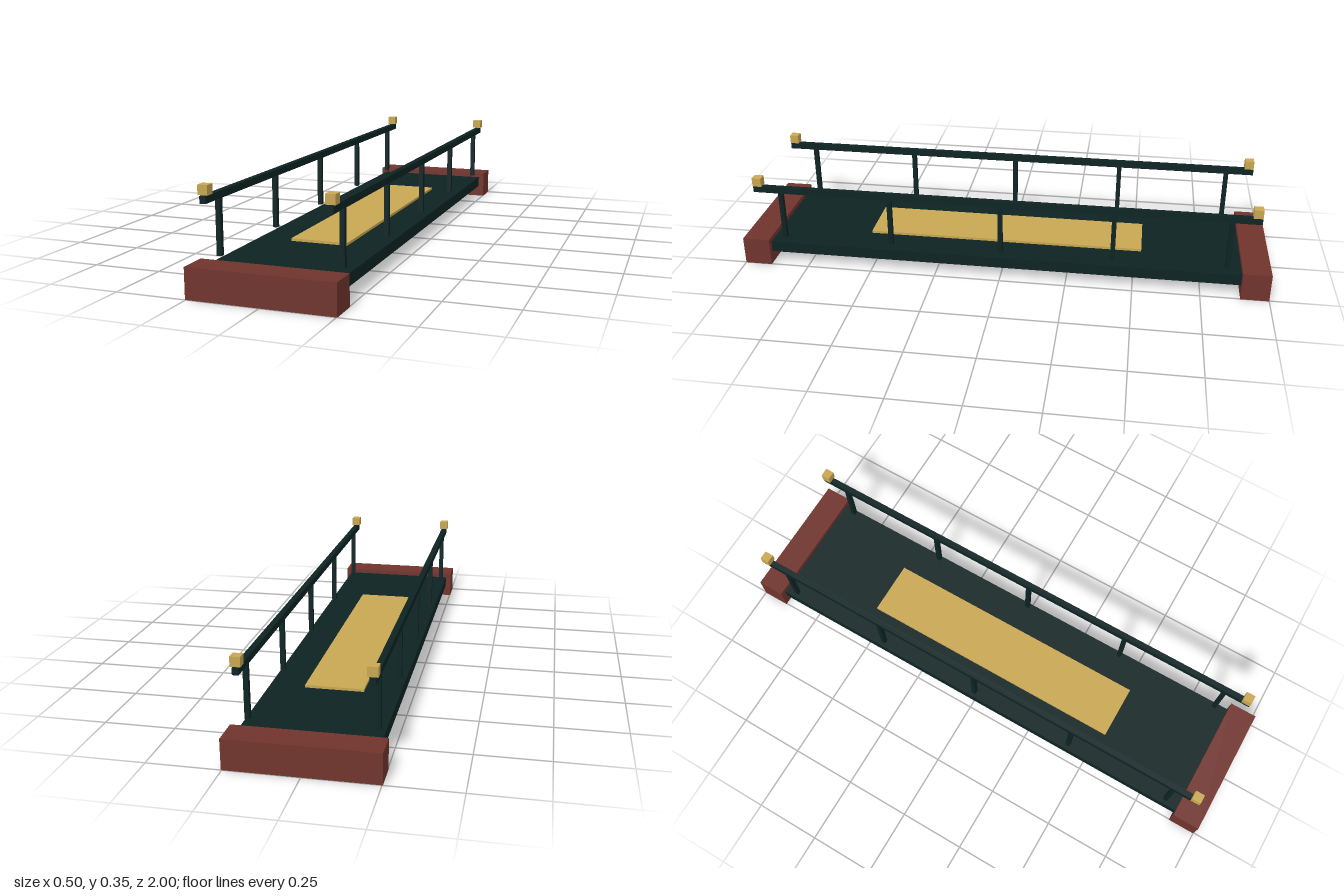
import * as THREE from 'three';

const material = (name, color) => {
  const m = new THREE.MeshStandardMaterial({ color });
  m.name = name;
  return m;
};

export function createModel() {
  const model = new THREE.Group();
  model.name = 'footbridge';
  const darkGreen = material('darkGreen', 0x0d2323);
  const brickRed = material('brickRed', 0x70342d);
  const gold = material('gold', 0xc8a752);

  // Box given by its size, its centre in x and z, and its bottom height
  const box = (name, mat, w, h, d, x, bottom, z) => {
    const mesh = new THREE.Mesh(new THREE.BoxGeometry(w, h, d), mat);
    mesh.name = name;
    mesh.position.set(x, bottom + h / 2, z);
    model.add(mesh);
  };

  // Walkway with its inlaid runner
  box('deck', darkGreen, 0.46, 0.042, 1.8, 0, 0.046, 0);
  box('runner', gold, 0.208, 0.0095, 1.054, 0, 0.088, 0);

  // End blocks carrying the deck
  for (const end of [-1, 1]) {
    box('abutment', brickRed, 0.505, 0.106, 0.104, 0, 0, end * 0.948);
  }

  // Railings: handrail, five posts and a cap at each end
  for (const side of [-1, 1]) {
    const x = side * 0.211;
    box('handrail', darkGreen, 0.021, 0.024, 1.89, x, 0.295, 0);
    for (let i = -2; i <= 2; i++) {
      box('railPost', darkGreen, 0.017, 0.19, 0.017, x, 0.106, i * 0.421);
    }
    for (const end of [-1, 1]) {
      box('railCap', gold, 0.034, 0.033, 0.034, x, 0.3215, end * 0.927);
    }
  }
  return model;
}
